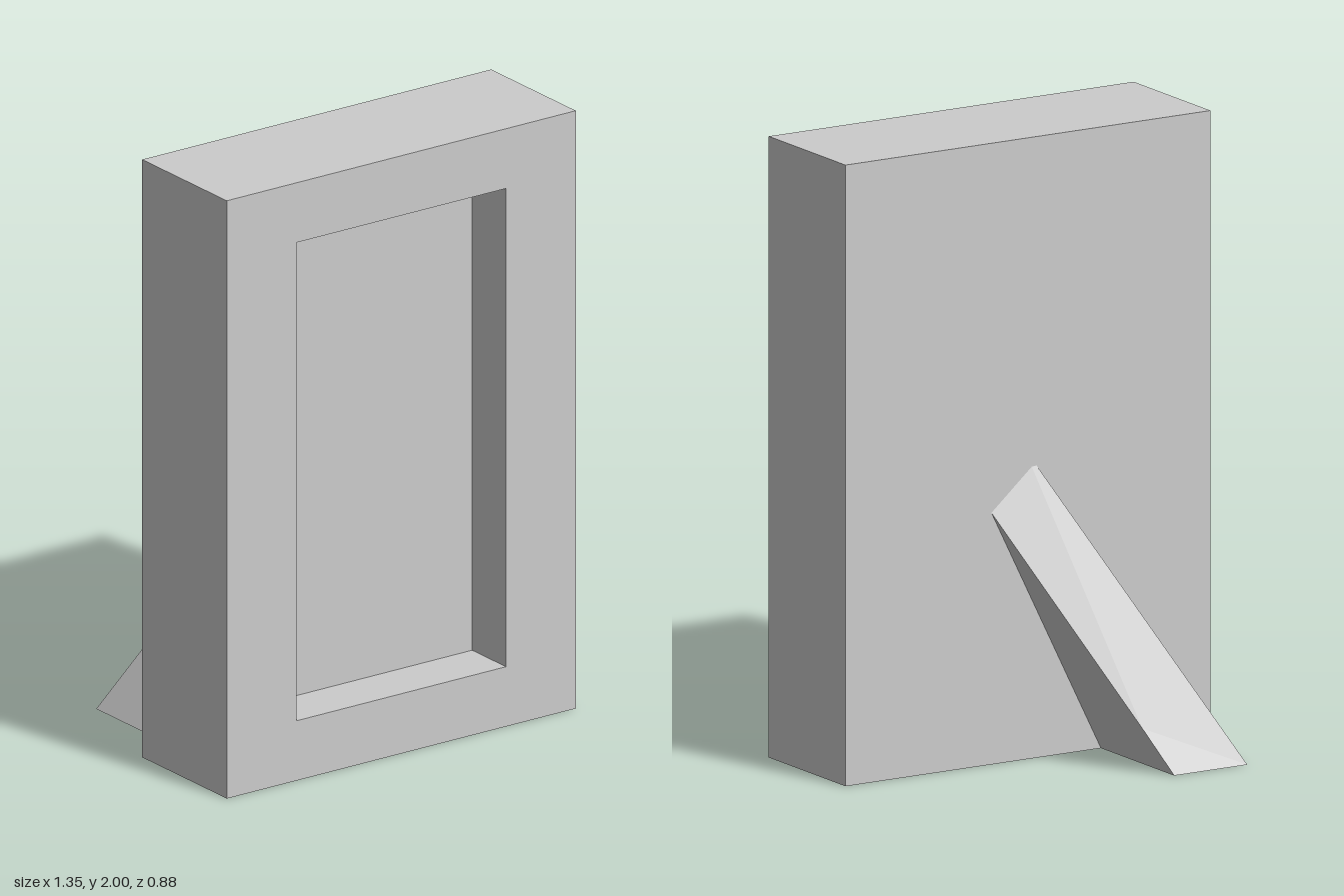
import * as THREE from 'three';

const W = 1.35, H = 2, BACK = -0.01, FRONT = 0.44, RECESS = 0.18;

// closed rectangle centred on x = 0
function rectangle(target, halfWidth, y0, y1) {
  target.moveTo(-halfWidth, y0);
  target.lineTo(halfWidth, y0);
  target.lineTo(halfWidth, y1);
  target.lineTo(-halfWidth, y1);
  target.closePath();
  return target;
}

export function createModel() {
  const group = new THREE.Group();
  group.name = 'pictureFrame';
  const material = new THREE.MeshStandardMaterial({ color: 0xcccccc, flatShading: true });
  const add = (name, geometry, z = 0, y = 0) => {
    const mesh = new THREE.Mesh(geometry, material);
    mesh.name = name;
    mesh.position.set(0, y, z);
    group.add(mesh);
  };

  // front border around the recessed picture opening
  const border = rectangle(new THREE.Shape(), W / 2, 0, H);
  border.holes.push(rectangle(new THREE.Path(), 0.405, 0.2, 1.8));
  add('border', new THREE.ExtrudeGeometry(border, { depth: RECESS, bevelEnabled: false }), FRONT - RECESS);

  // solid backing, its front face is the recessed panel
  const depth = FRONT - RECESS - BACK;
  add('backing', new THREE.BoxGeometry(W, H, depth), BACK + depth / 2, H / 2);

  // leaning easel leg: rectangular foot drawn up to a slanted top edge
  const corners = [
    [-0.54, 0, BACK], [-0.27, 0, BACK],          // foot, at the backing
    [-0.54, 0, -0.44], [-0.27, 0, -0.44],        // foot, outer edge
    [0, 1, 0.017], [0.135, 0.81, BACK],          // top edge
    [-0.2, 0.145, -0.364],                       // bend on the outer face
  ];
  const faces = [
    [0, 2, 3], [0, 3, 1],                        // underside
    [0, 4, 2], [1, 3, 6], [1, 6, 5],             // two sides
    [2, 6, 3], [2, 4, 6], [4, 5, 6],             // outer face
    [0, 1, 5], [0, 5, 4],                        // against the backing
  ];
  const leg = new THREE.BufferGeometry();
  const positions = faces.flat().flatMap((i) => corners[i]);
  leg.setAttribute('position', new THREE.Float32BufferAttribute(positions, 3));
  leg.computeVertexNormals();
  add('easelLeg', leg);

  return group;
}
